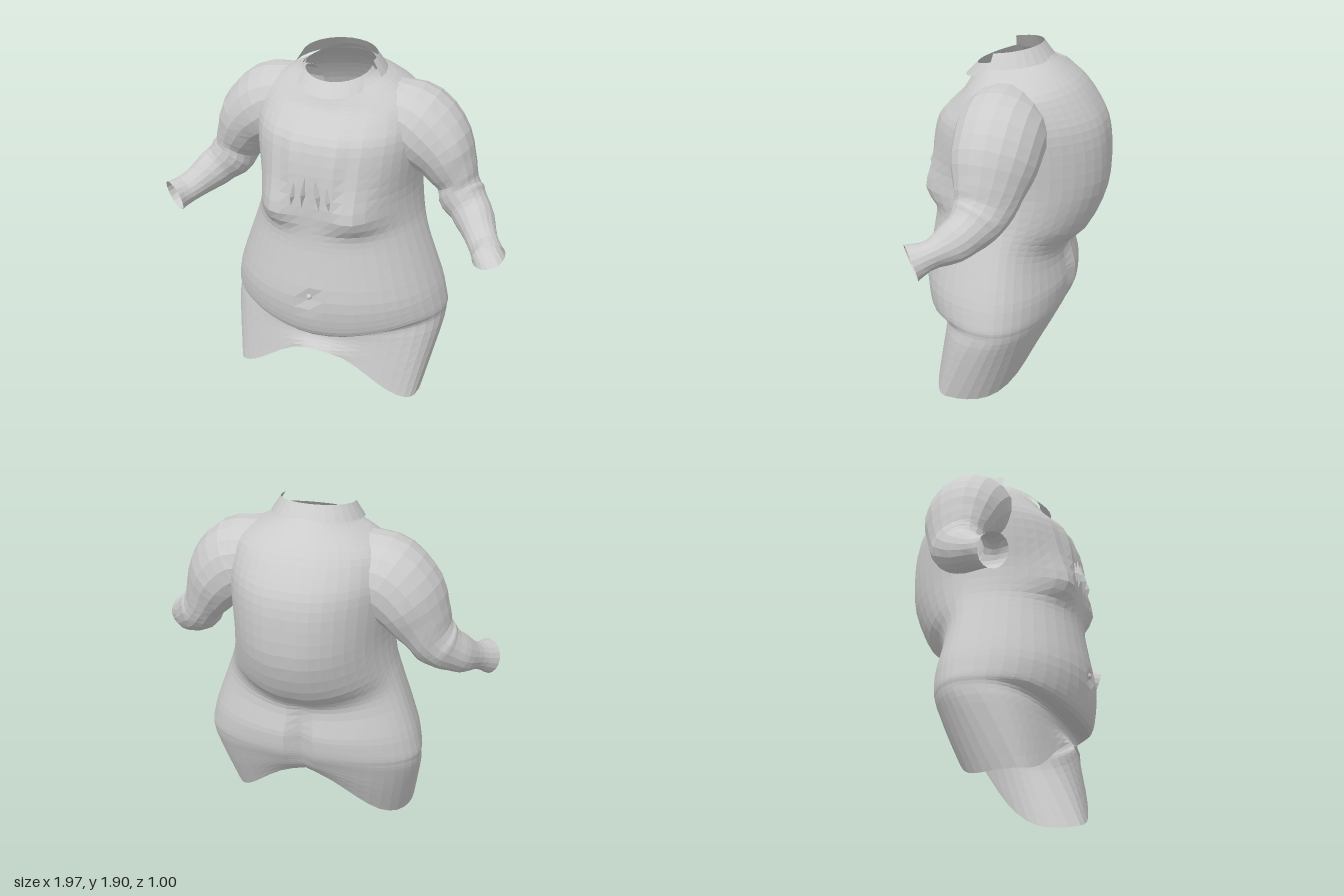
import * as THREE from 'three';

const fabric = new THREE.MeshStandardMaterial({ color: 0xcccccc, flatShading: true, side: THREE.DoubleSide });
fabric.name = 'pale grey fabric';

// Surface from a grid of points: u runs around, v runs along
function surface(name, nu, nv, point) {
  const pos = [], index = [];
  for (let j = 0; j <= nv; j++)
    for (let i = 0; i <= nu; i++) pos.push(...point(i / nu, j / nv));
  for (let j = 0; j < nv; j++)
    for (let i = 0; i < nu; i++) {
      const a = j * (nu + 1) + i, b = a + nu + 1;
      index.push(a, b, a + 1, a + 1, b, b + 1);
    }
  const g = new THREE.BufferGeometry();
  g.setAttribute('position', new THREE.Float32BufferAttribute(pos, 3));
  g.setIndex(index);
  g.computeVertexNormals();
  const m = new THREE.Mesh(g, fabric);
  m.name = name;
  return m;
}

// Smooth interpolation through rows of numbers
function sample(rows, t) {
  const f = t * (rows.length - 1), k = Math.min(Math.floor(f), rows.length - 2), s = f - k;
  const r = i => rows[Math.max(0, Math.min(rows.length - 1, i))];
  return rows[0].map((_, c) => {
    const [p0, p1, p2, p3] = [r(k - 1)[c], r(k)[c], r(k + 1)[c], r(k + 2)[c]];
    return p1 + 0.5 * s * (p2 - p0 + s * (2 * p0 - 5 * p1 + 4 * p2 - p3 + s * (3 * (p1 - p2) + p3 - p0)));
  });
}

const bump = (d, w) => Math.exp(-(d * d) / (w * w));

// Height at side, front and back; half width; front z, back z
const BODY = [
  [0.00, 0.26, 0.33, 0.54, 0.385, -0.19],
  [0.20, 0.30, 0.38, 0.58, 0.37, -0.24],
  [0.36, 0.34, 0.43, 0.61, 0.365, -0.27],
  [0.44, 0.37, 0.47, 0.615, 0.38, -0.29],
  [0.475, 0.39, 0.51, 0.62, 0.455, -0.30],
  [0.53, 0.47, 0.56, 0.61, 0.49, -0.305],
  [0.63, 0.63, 0.62, 0.585, 0.505, -0.305],
  [0.83, 0.83, 0.75, 0.515, 0.475, -0.28],
  [0.93, 0.93, 0.82, 0.48, 0.46, -0.31],
  [1.03, 1.03, 0.92, 0.45, 0.455, -0.41],
  [1.18, 1.18, 1.14, 0.43, 0.46, -0.495],
  [1.35, 1.35, 1.35, 0.44, 0.455, -0.505],
  [1.50, 1.50, 1.50, 0.45, 0.42, -0.48],
  [1.60, 1.58, 1.61, 0.44, 0.35, -0.42],
  [1.68, 1.64, 1.71, 0.41, 0.29, -0.34],
  [1.75, 1.68, 1.78, 0.31, 0.265, -0.25],
  [1.785, 1.71, 1.82, 0.235, 0.25, -0.19],
  [1.81, 1.74, 1.86, 0.20, 0.225, -0.14],
];

function bodyPoint(u, v) {
  const [ys, yf, yb, hw, zf, zb] = sample(BODY, v);
  const a = u * Math.PI * 2, c = Math.cos(a), s = Math.sin(a), front = s > 0;
  const lift = Math.pow(Math.abs(s), v < 0.235 ? 4 : v < 0.35 ? 3 : 2);
  const x = hw * c, y = ys + ((front ? yf : yb) - ys) * lift;
  // middle moves forward at the thighs and neck; thighs and chest are squarer in front
  const zc = 0.2 * Math.max(0, 1 - ys / 0.42) + 0.05 * Math.max(0, (v - 0.82) / 0.18);
  const round = Math.min(1, 0.5 + v * 2.1) - 0.15 * bump(ys - 1.4, 0.2);
  let z = zc + Math.pow(Math.abs(s), front ? round : 1) * ((front ? zf : zb) - zc);
  if (front) {
    // breasts, belly button, chest folds and the loose front hem
    z += 0.075 * bump(Math.abs(x) - 0.24, 0.12) * bump(y - 1.1, y < 1.1 ? 0.07 : 0.16);
    z -= 0.02 * bump(x, 0.04) * bump(y - 0.62, 0.04);
    z += 0.012 * Math.sin(Math.abs(x) * 60) * bump(x, 0.2) * bump(y - 1.4, 0.2);
    z += 0.03 * bump(x, 0.14) * bump(y - 0.25, 0.04);
  } else {
    // cleft between the buttocks and the shallow spine
    z += 0.05 * bump(x, 0.05) * bump(y - 0.55, 0.24);
    z += 0.012 * bump(x, 0.06) * bump(y - 1.3, 0.3);
  }
  return [x, y, z];
}

// Arm sections: centre x, y, z, front-back radius, outward radius
const ARM = [
  [0.20, 1.57, -0.02, 0.19, 0.18],
  [0.31, 1.55, -0.025, 0.22, 0.20],
  [0.42, 1.51, -0.03, 0.235, 0.22],
  [0.53, 1.41, -0.03, 0.225, 0.19],
  [0.60, 1.30, -0.025, 0.19, 0.145],
  [0.645, 1.22, -0.015, 0.16, 0.115],
  [0.68, 1.16, 0.01, 0.145, 0.125],
  [0.735, 1.11, 0.045, 0.12, 0.11],
  [0.79, 1.06, 0.105, 0.105, 0.10],
  [0.855, 1.01, 0.20, 0.075, 0.08],
  [0.91, 0.98, 0.28, 0.095, 0.09],
];

function arm(side, name) {
  const at = t => new THREE.Vector3(...sample(ARM, t).slice(0, 3));
  return surface(name, 18, 26, (u, v) => {
    const [x, y, z, ra, rb] = sample(ARM, v);
    const t = at(Math.min(1, v + 0.02)).sub(at(Math.max(0, v - 0.02))).normalize();
    const out = new THREE.Vector3(0.65, 0.46, -0.35);
    out.addScaledVector(t, -out.dot(t)).normalize();
    const across = new THREE.Vector3().crossVectors(out, t);
    const a = u * Math.PI * 2 * side;
    const fold = 1 + 0.03 * v * Math.sin(v * 40 + 3 * Math.cos(a));
    const p = new THREE.Vector3(x, y, z)
      .addScaledVector(out, Math.cos(a) * rb * fold)
      .addScaledVector(across, Math.sin(a) * ra * fold);
    return [p.x * side, p.y, p.z];
  });
}

// Collar band over an arc; each edge gives half width, middle z, depth, y and slope of y along z
function collarBand(name, from, to, low, high) {
  return surface(name, 16, 1, (u, v) => {
    const [w, zc, d, y, slope] = v ? high : low;
    const a = from + (to - from) * u, z = zc + d * Math.sin(a);
    return [w * Math.cos(a), y + slope * z, z];
  });
}

export function createModel() {
  const model = new THREE.Group();
  model.name = 'paddedBodysuit';
  model.add(surface('torsoAndThighs', 44, 48, bodyPoint));
  model.add(arm(1, 'leftArm'), arm(-1, 'rightArm'));

  // High collar behind, lower collar flap in front
  const P = Math.PI;
  model.add(collarBand('backCollar', P * 0.94, P * 2.06,
    [0.25, 0.05, 0.235, 1.80, -0.10], [0.20, 0.05, 0.175, 1.88, -0.13]));
  model.add(collarBand('frontCollar', -P * 0.02, P * 1.02,
    [0.22, 0.06, 0.23, 1.79, -0.28], [0.18, 0.06, 0.165, 1.845, -0.30]));

  // Navel knot
  const navel = new THREE.Mesh(new THREE.IcosahedronGeometry(0.016, 1), fabric);
  navel.name = 'navel';
  navel.position.set(0, 0.65, 0.49);
  model.add(navel);

  // Gathered pleats down the breastbone
  for (const s of [-1, 1])
    for (const [x, y, h] of [[0.04, 1.24, 0.1], [0.1, 1.22, 0.08]]) {
      const pleat = new THREE.Mesh(new THREE.OctahedronGeometry(1), fabric);
      pleat.name = 'chestPleat';
      pleat.scale.set(0.018, h, 0.03);
      pleat.position.set(s * x, y, 0.455);
      pleat.rotation.z = s * 0.12;
      model.add(pleat);
    }
  return model;
}
